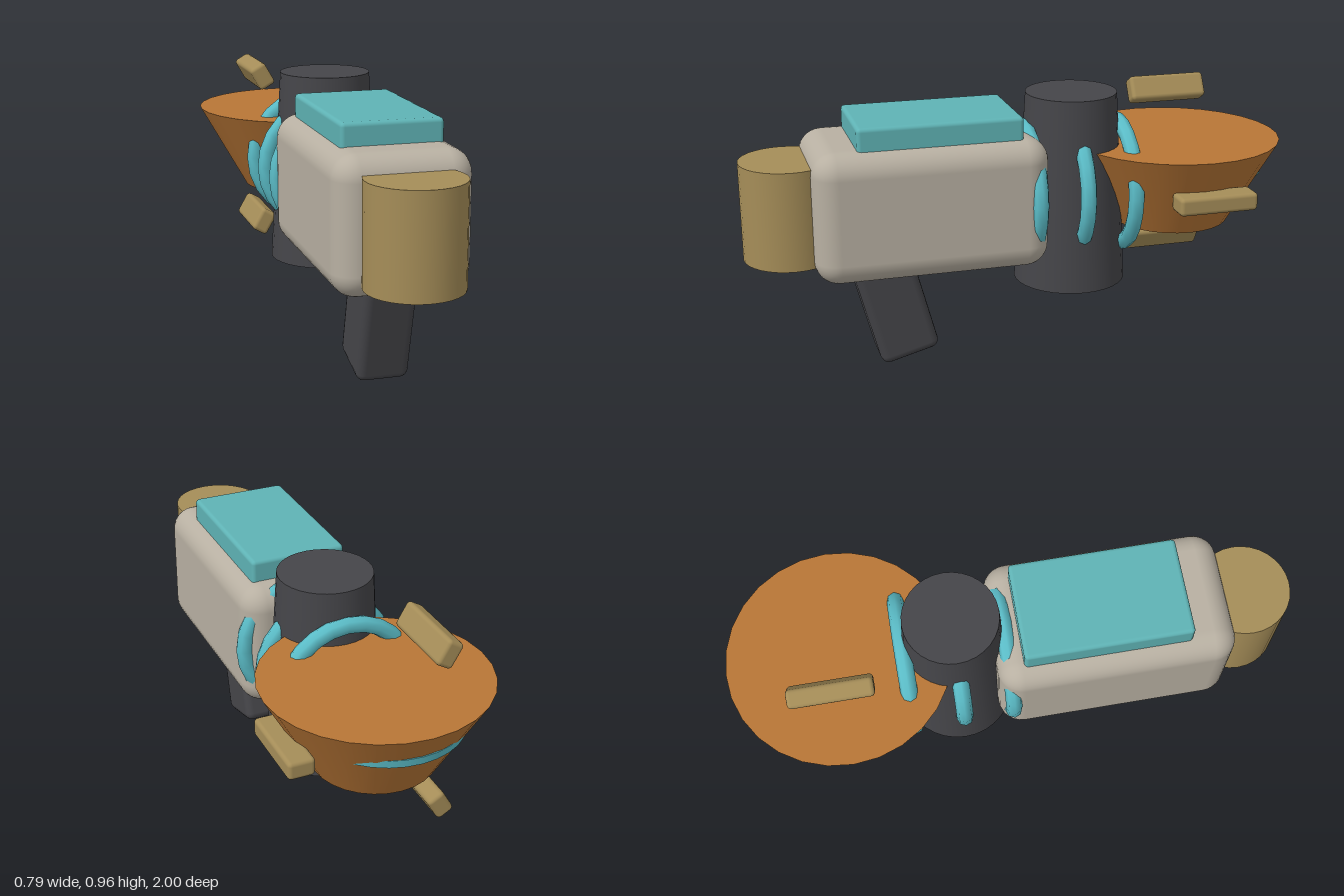
import * as THREE from 'three';
import { RoundedBoxGeometry } from 'three/addons/geometries/RoundedBoxGeometry.js';

const material = (name, color) => {
  const m = new THREE.MeshStandardMaterial({ color });
  m.name = name;
  return m;
};

export function createModel() {
  const shell = material('warm grey', 0xb8b0a2);
  const dark = material('charcoal', 0x454549);
  const teal = material('teal', 0x5fb3b5);
  const aqua = material('ring aqua', 0x5bbdc8);
  const copper = material('copper', 0xb87636);
  const brass = material('brass', 0xa58d58);

  const model = new THREE.Group();
  const AXIS_Y = 0.612;
  const add = (name, geometry, mat, x, y, z, parent = model) => {
    const mesh = new THREE.Mesh(geometry, mat);
    mesh.name = name;
    mesh.position.set(x, y, z);
    parent.add(mesh);
    return mesh;
  };
  const roundBox = (w, h, d, r, s = 3) => new RoundedBoxGeometry(w, h, d, s, r);

  // Main housing with its top panel and rear drum
  add('body', roundBox(0.475, 0.475, 0.84, 0.085, 4), shell, 0, AXIS_Y, 0.35);
  add('topPanel', roundBox(0.354, 0.12, 0.59, 0.015, 2), teal, 0, 0.868, 0.315);
  add('frontDrum', new THREE.CylinderGeometry(0.167, 0.167, 0.357, 32), brass, 0, 0.611, 0.833);

  // Slanted grip
  const grip = add('grip', roundBox(0.186, 0.45, 0.22, 0.03, 2), dark, 0, 0.245, 0.478);
  grip.rotation.x = THREE.MathUtils.degToRad(15);

  // Upright chamber
  add('chamber', new THREE.CylinderGeometry(0.167, 0.207, 0.71, 32), dark, 0, 0.61, -0.205);

  // Coil rings along the long axis
  const ring = new THREE.TorusGeometry(0.233, 0.03, 8, 24);
  for (const z of [-0.025, -0.203, -0.383]) add('coilRing', ring, aqua, 0, AXIS_Y, z);

  // Flared bowl with a disc just breaking through its rear wall
  add('bowl', new THREE.CylinderGeometry(0.395, 0.215, 0.317, 28), copper, 0, 0.612, -0.605);
  add('bowlDisc', new THREE.CylinderGeometry(0.28, 0.275, 0.03, 32), aqua, 0, 0.655, -0.667);

  // Three prongs spaced evenly around the long axis
  const prongs = new THREE.Group();
  prongs.name = 'prongs';
  prongs.position.set(0, AXIS_Y, -0.64);
  model.add(prongs);
  const prong = roundBox(0.095, 0.066, 0.295, 0.015, 2);
  for (let i = 0; i < 3; i++) {
    const a = (i * Math.PI * 2) / 3;
    const mesh = add('prong', prong, brass, 0.34 * Math.cos(a), 0.34 * Math.sin(a), 0, prongs);
    mesh.rotation.z = a;
  }

  return model;
}
